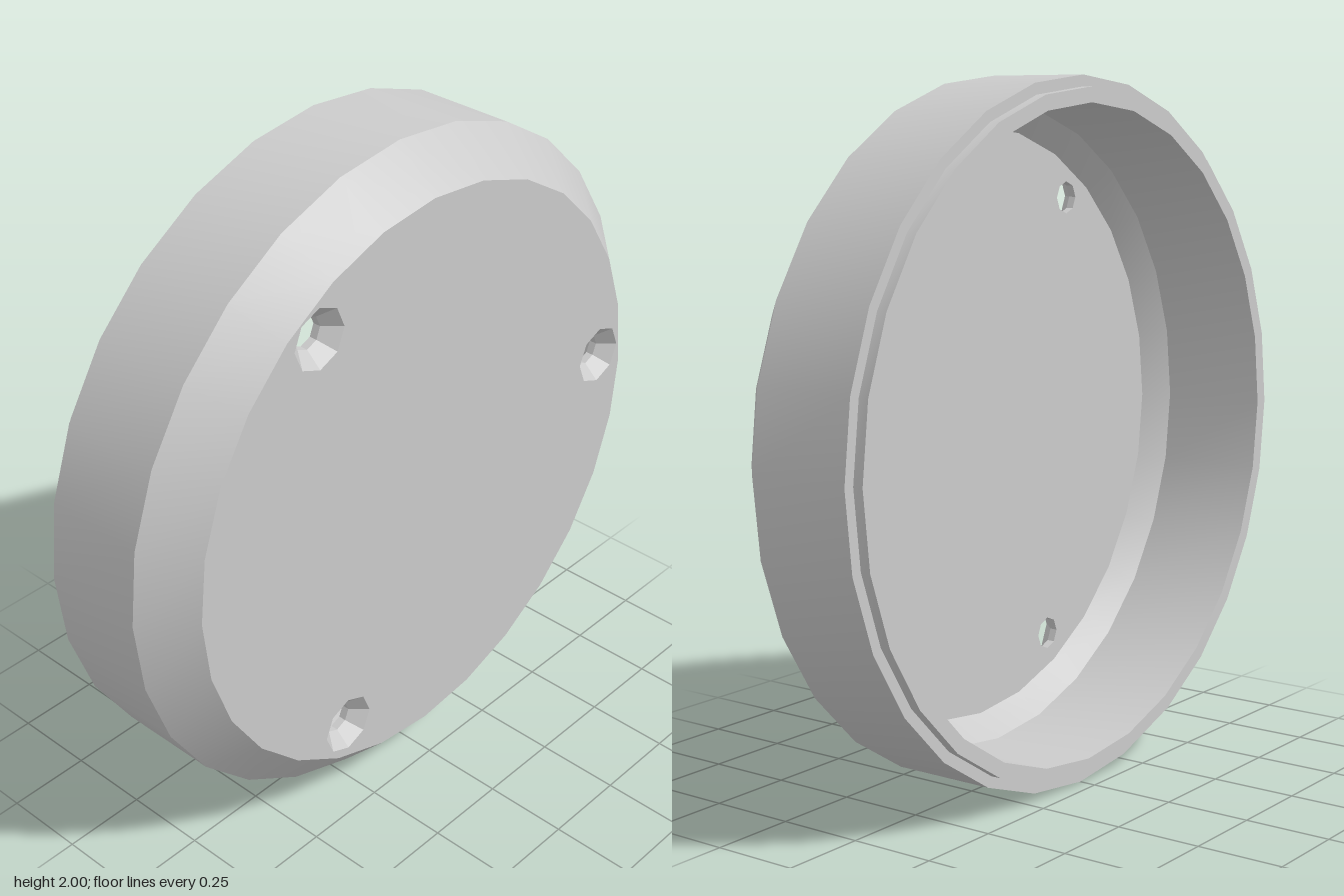
import * as THREE from 'three';
import { toCreasedNormals } from 'three/addons/utils/BufferGeometryUtils.js';

const SIDES = 28, HOLE_SIDES = 8;
const FACE = 0.228, FLOOR = 0.16;          // outer and inner plane of the end plate
const FACE_R = 0.875, FLOOR_R = 0.86;
const HOLE_R = 0.048, SINK_R = 0.09, HOLE_RING = 0.77;

const material = new THREE.MeshStandardMaterial({ color: 0xcccccc });

// Screw hole centres, 120 degrees apart
const holes = [4, 124, 244].map((deg) => {
  const a = THREE.MathUtils.degToRad(deg);
  return new THREE.Vector2(Math.cos(a) * HOLE_RING, Math.sin(a) * HOLE_RING + 0.007);
});

// Smooth around the rim, sharp at the bevels and steps
function addMesh(group, name, geometry) {
  const mesh = new THREE.Mesh(toCreasedNormals(geometry, 0.45), material);
  mesh.name = name;
  group.add(mesh);
}

// Revolve [radius, height] pairs around the local z axis
function revolve(profile, sides) {
  const points = profile.map(([r, h]) => new THREE.Vector2(r, h));
  return new THREE.LatheGeometry(points, sides).rotateX(Math.PI / 2);
}

function polygon(radius, sides, centre) {
  return Array.from({ length: sides }, (_, i) => {
    const a = (i / sides) * Math.PI * 2;
    return new THREE.Vector2(centre.x + radius * Math.cos(a), centre.y + radius * Math.sin(a));
  });
}

// Flat disc pierced by the three holes
function piercedDisc(radius, holeRadius, z) {
  const shape = new THREE.Shape(polygon(radius, SIDES, new THREE.Vector2()));
  for (const c of holes) shape.holes.push(new THREE.Path(polygon(holeRadius, HOLE_SIDES, c)));
  return new THREE.ShapeGeometry(shape).translate(0, 0, z);
}

export function createModel() {
  const group = new THREE.Group();
  group.name = 'cap';

  // Hollow rim: inner bevel, inner wall, stepped lip, outer wall, outer bevel
  addMesh(group, 'rim', revolve([
    [FLOOR_R, FLOOR], [0.925, 0.095], [0.925, -0.23], [0.968, -0.23], [0.968, -0.2],
    [1, -0.2], [1, 0.106], [FACE_R, FACE],
  ], SIDES));

  // End plate, outside and inside
  addMesh(group, 'outerFace', piercedDisc(FACE_R, SINK_R, FACE));
  const floor = piercedDisc(FLOOR_R, HOLE_R, FLOOR);
  floor.index.array.reverse();             // face the hollow side
  addMesh(group, 'innerFace', floor);

  // Countersunk screw holes
  for (const c of holes) {
    const wall = revolve([[SINK_R, FACE], [HOLE_R, 0.183], [HOLE_R, FLOOR]], HOLE_SIDES);
    addMesh(group, 'screwHole', wall.translate(c.x, c.y, 0));
  }

  // Stand the cap on edge with its closed face towards +x
  group.rotation.y = Math.PI / 2;
  group.position.y = 1;
  return group;
}
